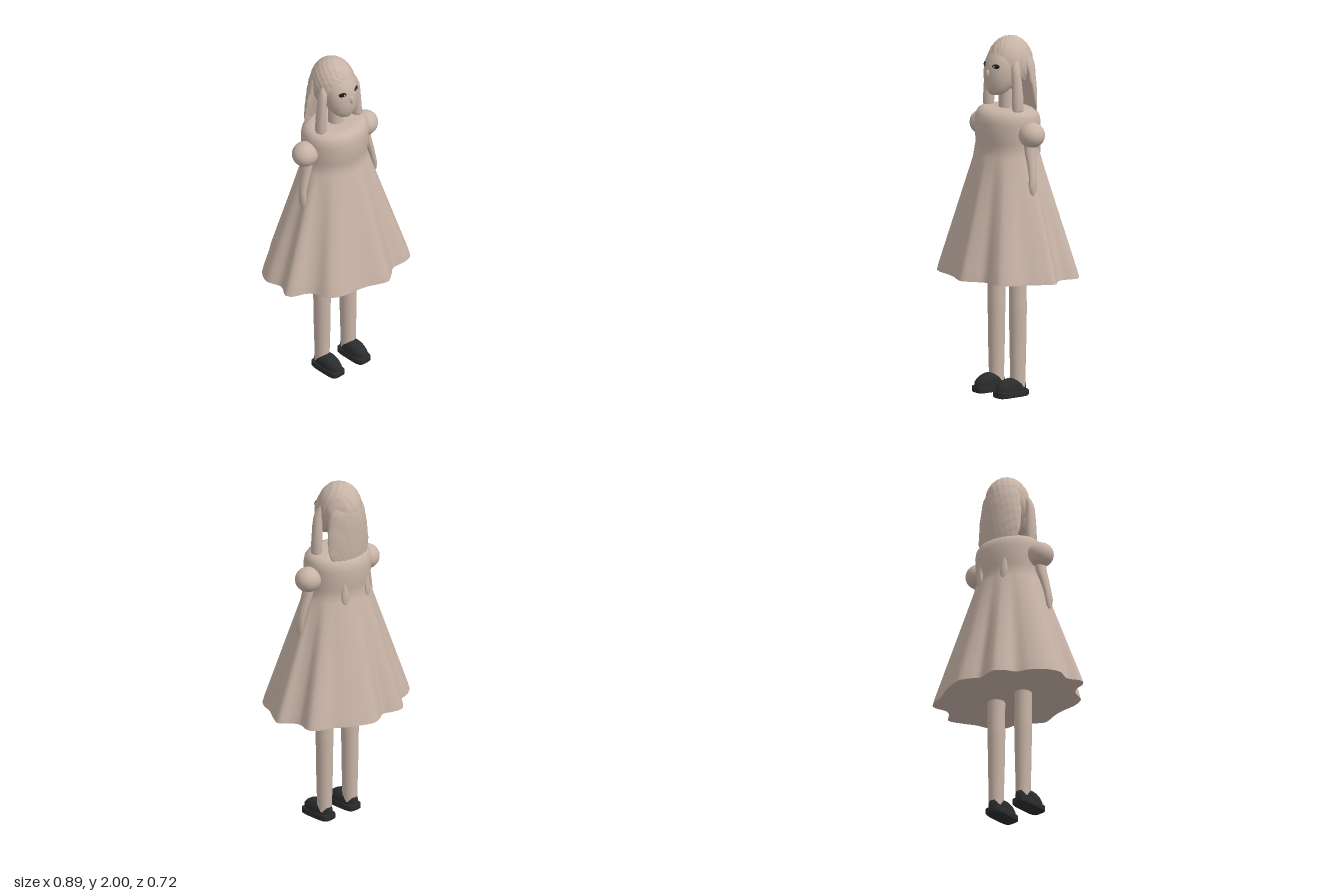
import * as THREE from 'three';
import { mergeVertices } from 'three/addons/utils/BufferGeometryUtils.js';

const clay = new THREE.MeshStandardMaterial({ color: 0xc8b4a7 });
clay.name = 'clay';
const shoeBlack = new THREE.MeshStandardMaterial({ color: 0x2b2c2d });
shoeBlack.name = 'shoeBlack';
const eyeDark = new THREE.MeshStandardMaterial({ color: 0x1c1a1a });
eyeDark.name = 'eyeDark';

function part(parent, name, geometry, material = clay) {
  const mesh = new THREE.Mesh(geometry, material);
  mesh.name = name;
  parent.add(mesh);
  return mesh;
}

// Skin stacked rings of points (bottom to top) and close both ends
function loft(rings) {
  const n = rings[0].length, pos = [], idx = [];
  const add = (p) => pos.push(p.x, p.y, p.z) / 3 - 1;
  rings.forEach((ring) => ring.forEach(add));
  for (let r = 0; r < rings.length - 1; r++) {
    for (let i = 0; i < n; i++) {
      const a = r * n + i, b = r * n + (i + 1) % n;
      idx.push(a, a + n, b, b, a + n, b + n);
    }
  }
  [rings[0], rings[rings.length - 1]].forEach((ring, end) => {
    const mid = ring.reduce((s, p) => s.add(p), new THREE.Vector3()).divideScalar(n);
    const c = add(mid), first = c + 1;
    ring.forEach(add);
    for (let i = 0; i < n; i++) {
      const a = first + i, b = first + (i + 1) % n;
      if (end) idx.push(c, b, a); else idx.push(c, a, b);
    }
  });
  const g = new THREE.BufferGeometry();
  g.setAttribute('position', new THREE.Float32BufferAttribute(pos, 3));
  g.setIndex(idx);
  g.computeVertexNormals();
  return g;
}

// Rounded oval ring at height y
function oval(y, hx, hz, cx, cz, n = 32, power = 1) {
  const bend = (v) => Math.sign(v) * Math.abs(v) ** power;
  return Array.from({ length: n }, (_, i) => {
    const a = i / n * Math.PI * 2;
    return new THREE.Vector3(cx + hx * bend(Math.cos(a)), y, cz + hz * bend(Math.sin(a)));
  });
}

function ellipsoid(rx, ry, rz, x, y, z) {
  return new THREE.SphereGeometry(1, 40, 28).scale(rx, ry, rz).translate(x, y, z);
}

// Wavy strand relief
function ruffle(geometry, amount) {
  geometry.deleteAttribute('uv');
  geometry.deleteAttribute('normal');
  const g = mergeVertices(geometry, 1e-5), p = g.attributes.position;
  g.computeVertexNormals();
  const normal = g.attributes.normal.clone();
  for (let i = 0; i < p.count; i++) {
    const x = p.getX(i), y = p.getY(i), z = p.getZ(i);
    const d = amount * (Math.sin(x * 150 + y * 40) * Math.sin(z * 130 + y * 70) + 0.6 * Math.sin(x * 260 - z * 190 + y * 60));
    p.setXYZ(i, x + normal.getX(i) * d, y + normal.getY(i) * d, z + normal.getZ(i) * d);
  }
  g.computeVertexNormals();
  return g;
}

// Wavy hem as x, z pairs
const HEM = [
  0.45, 0, 0.42, 0.07, 0.37, 0.15, 0.345, 0.22, 0.30, 0.275, 0.25, 0.285, 0.17, 0.285, 0.12, 0.325,
  0.06, 0.363, 0.01, 0.35, -0.05, 0.325, -0.12, 0.31, -0.22, 0.298, -0.29, 0.26, -0.32, 0.18, -0.355, 0.145,
  -0.43, 0.115, -0.45, 0.08, -0.41, 0, -0.435, -0.09, -0.40, -0.165, -0.33, -0.22, -0.25, -0.25, -0.22, -0.30,
  -0.17, -0.34, -0.12, -0.335, -0.05, -0.315, 0, -0.345, 0.06, -0.365, 0.13, -0.345, 0.22, -0.30, 0.28, -0.26,
  0.36, -0.23, 0.395, -0.195, 0.395, -0.16, 0.378, -0.10, 0.40, -0.05,
];

function dressGeometry() {
  const n = 180, rings = [], pts = [];
  for (let i = 0; i < HEM.length; i += 2) pts.push(new THREE.Vector3(HEM[i], 0, HEM[i + 1]));
  const hem = new THREE.CatmullRomCurve3(pts, true).getSpacedPoints(n).slice(0, n);
  // Skirt blends from the hem to an oval waist
  for (let r = 0; r < 20; r++) {
    const s = r / 20, t = r === 0 ? 0.99 : 1 - s;
    rings.push(hem.map((p) => {
      const a = Math.atan2(p.z / 0.36, p.x / 0.44);
      return new THREE.Vector3(
        THREE.MathUtils.lerp(0.19 * Math.cos(a), p.x, t),
        0.68 + 0.7 * s,
        THREE.MathUtils.lerp(0.158 * Math.sin(a) - 0.007, p.z, t));
    }));
  }
  // Bodice rows: height, half width, half depth
  const bodice = [[1.38, 0.19, 0.158], [1.42, 0.193, 0.164], [1.47, 0.197, 0.17], [1.53, 0.2, 0.171], [1.565, 0.196, 0.163],
    [1.588, 0.184, 0.147], [1.6, 0.166, 0.125], [1.605, 0.14, 0.1], [1.606, 0.02, 0.015]];
  bodice.forEach(([y, hx, hz]) => rings.push(hem.map((p) => {
    const a = Math.atan2(p.z / 0.36, p.x / 0.44);
    return new THREE.Vector3(hx * Math.cos(a), y, hz * Math.sin(a) - 0.007);
  })));
  return loft(rings);
}

export function createModel() {
  const model = new THREE.Group();
  model.name = 'girlInDress';

  part(model, 'dress', dressGeometry());

  // Head
  part(model, 'neck', new THREE.CylinderGeometry(0.04, 0.045, 0.18, 28).translate(0, 1.66, 0));
  const head = loft([
    [1.68, 0.015, 0.015, 0.075], [1.685, 0.04, 0.035, 0.07], [1.705, 0.064, 0.056, 0.062], [1.74, 0.085, 0.077, 0.052],
    [1.78, 0.096, 0.09, 0.042], [1.82, 0.1, 0.094, 0.036], [1.86, 0.099, 0.091, 0.032], [1.9, 0.088, 0.08, 0.025],
    [1.94, 0.06, 0.06, 0.015],
  ].map(([y, hx, hz, cz]) => oval(y, hx, hz, 0, cz, 40)));
  part(model, 'head', head);
  part(model, 'nose', ellipsoid(0.013, 0.024, 0.014, 0, 1.805, 0.127));

  // Hair
  part(model, 'hairCap', ruffle(new THREE.SphereGeometry(1, 80, 56)
    .scale(0.119, 0.15, 0.13).translate(0, 1.85, -0.025), 0.0017));
  const back = [[1.575, 0.10, -0.15, -0.135], [1.59, 0.135, -0.154, -0.125], [1.63, 0.147, -0.158, -0.115], [1.68, 0.148, -0.161, -0.1],
    [1.74, 0.143, -0.162, -0.08], [1.8, 0.132, -0.162, -0.06], [1.86, 0.12, -0.156, -0.04], [1.91, 0.1, -0.135, -0.03]];
  const backRings = [];
  back.forEach((row, i) => {
    const next = back[i + 1] || row, steps = back[i + 1] ? 4 : 1;
    for (let k = 0; k < steps; k++) {
      const [y, hx, z0, z1] = row.map((v, j) => THREE.MathUtils.lerp(v, next[j], k / steps));
      const ring = oval(y, hx, (z1 - z0) / 2, 0, (z0 + z1) / 2, 72);
      ring.forEach((p) => { p.z += 2 * p.x * p.x; });
      backRings.push(ring);
    }
  });
  part(model, 'backHair', ruffle(loft(backRings), 0.0017));

  for (const side of [-1, 1]) {
    const tag = side > 0 ? 'left' : 'right';

    // Side lock: height, half width, half depth, x, z
    const lock = [[1.595, 0.022, 0.026, 0.135, 0.022], [1.61, 0.029, 0.033, 0.133, 0.022], [1.68, 0.029, 0.033, 0.13, 0.022],
      [1.76, 0.026, 0.029, 0.126, 0.023], [1.81, 0.023, 0.026, 0.121, 0.024], [1.85, 0.018, 0.022, 0.113, 0.02], [1.88, 0.008, 0.01, 0.105, 0.01]];
    part(model, tag + 'SideLock', ruffle(loft(lock.map(([y, hx, hz, x, z]) => oval(y, hx, hz, side * x, z, 24))), 0.0012));

    // Eye: dark almond with a small pale glint
    const eye = new THREE.Group();
    eye.name = tag + 'Eye';
    eye.position.set(side * 0.048, 1.849, 0.109);
    eye.rotation.y = side * 0.45;
    part(eye, 'eyeball', ellipsoid(0.023, 0.014, 0.008, 0, 0, 0), eyeDark);
    part(eye, 'glint', ellipsoid(0.005, 0.006, 0.003, -side * 0.009, 0, 0.0065));
    model.add(eye);

    // Puff sleeve and arm
    part(model, tag + 'PuffSleeve', ellipsoid(0.075, 0.07, 0.072, side * 0.222, 1.48, -0.006));
    const arm = [[1.15, 0.004, 0.006, 0.266, 0.018], [1.17, 0.012, 0.019, 0.266, 0.018], [1.21, 0.016, 0.027, 0.264, 0.018],
      [1.25, 0.018, 0.025, 0.259, 0.013], [1.32, 0.023, 0.029, 0.242, 0.007], [1.39, 0.028, 0.034, 0.22, 0.003], [1.48, 0.03, 0.036, 0.21, 0]];
    part(model, tag + 'Arm', loft(arm.map(([y, hx, hz, x, z]) => oval(y, hx, hz, side * x, z))));

    // Ribbon tail on the back
    const tail = part(model, tag + 'RibbonTail', loft([[-0.09, 0.003, 0.003], [-0.06, 0.02, 0.01], [-0.02, 0.022, 0.013],
      [0.04, 0.012, 0.01], [0.09, 0.003, 0.003]].map(([y, hx, hz]) => oval(y, hx, hz, 0, 0, 20))));
    tail.position.set(side * 0.085, 1.41, -0.152);
    tail.rotation.set(0.08, side * -0.4, 0);

    // Leg with a soft knee
    const leg = [[0.05, 0.041, 0.043], [0.12, 0.041, 0.043], [0.3, 0.046, 0.047], [0.42, 0.047, 0.048], [0.47, 0.049, 0.05],
      [0.51, 0.049, 0.05], [0.55, 0.047, 0.049], [0.72, 0.049, 0.051]];
    part(model, tag + 'Leg', loft(leg.map(([y, hx, hz]) => oval(y, hx, hz, side * 0.097, -0.005))));

    // Shoe: flat sole and domed upper
    const sole = [[0, 0.045, 0.096], [0.006, 0.049, 0.102], [0.03, 0.049, 0.102], [0.035, 0.046, 0.098]];
    part(model, tag + 'Sole', loft(sole.map(([y, hx, hz]) => oval(y, hx, hz, side * 0.097, 0.042, 40, 0.45))), shoeBlack);
    const upper = [[0.03, 0.044, 0.096, 0.044], [0.055, 0.047, 0.097, 0.042], [0.075, 0.043, 0.086, 0.036],
      [0.09, 0.034, 0.064, 0.035], [0.1, 0.02, 0.035, 0.04], [0.102, 0.004, 0.008, 0.042]];
    part(model, tag + 'ShoeUpper', loft(upper.map(([y, hx, hz, z]) => oval(y, hx, hz, side * 0.097, z, 40, 0.9))), shoeBlack);
  }
  return model;
}
